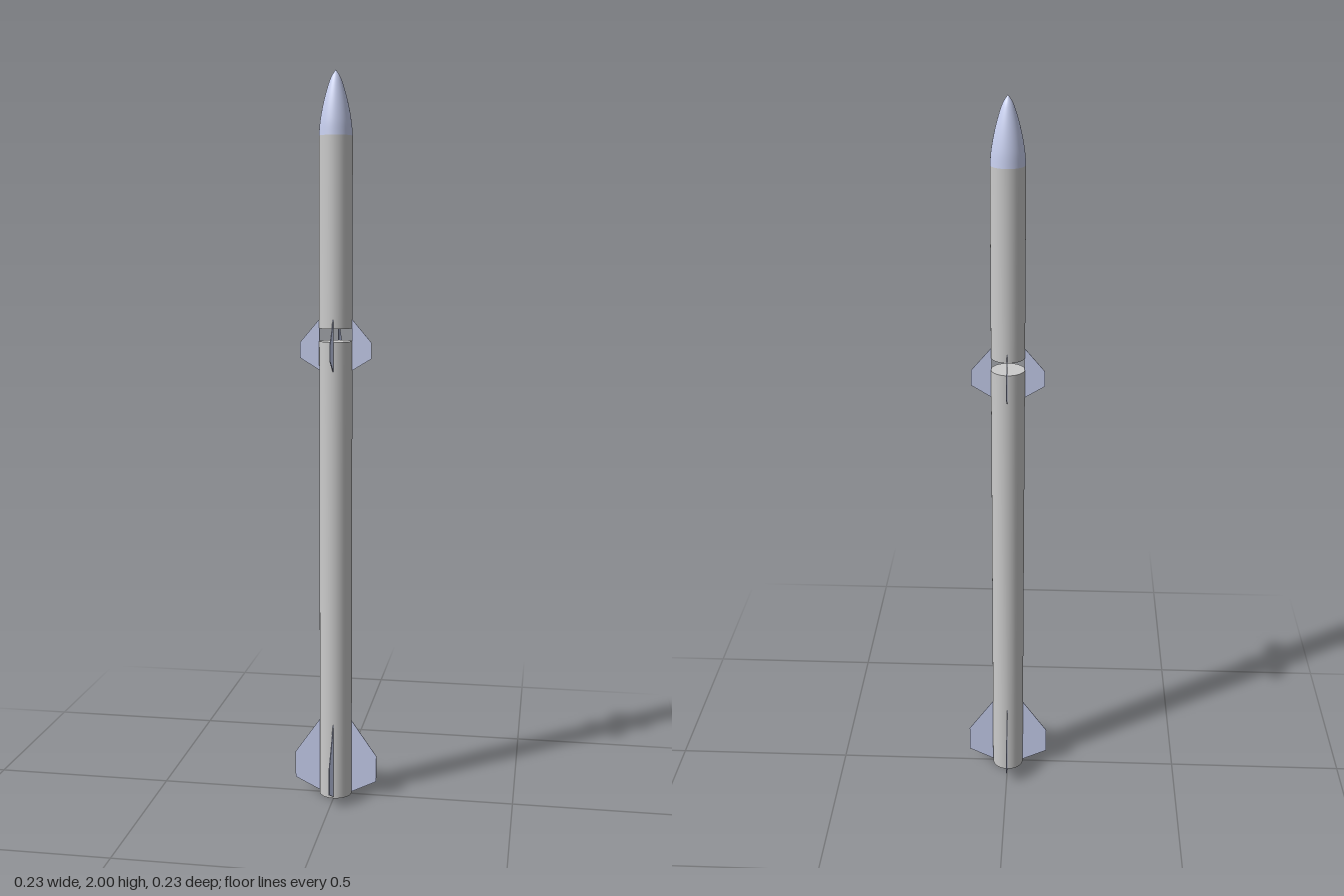
import * as THREE from 'three';

const RADIUS = 0.045;
const SIDES = 48;

export function createModel() {
  const rocket = new THREE.Group();
  rocket.name = 'rocket';

  const grey = new THREE.MeshStandardMaterial({ color: 0xcccccc });
  const paleBlue = new THREE.MeshStandardMaterial({ color: 0xc8d0f0 });
  const purple = new THREE.MeshStandardMaterial({ color: 0x800080 });

  const add = (name, geometry, material) => {
    const mesh = new THREE.Mesh(geometry, material);
    mesh.name = name;
    rocket.add(mesh);
    return mesh;
  };

  // Two capped body tubes with a narrow gap bridged by the upper fins
  const tube = (name, y0, y1) => {
    const geometry = new THREE.CylinderGeometry(RADIUS, RADIUS, y1 - y0, SIDES);
    add(name, geometry, grey).position.y = (y0 + y1) / 2;
  };
  tube('lowerBody', 0.001, 1.287);
  tube('upperBody', 1.322, 1.83);

  // Coloured exhaust disc closing the tail
  add('exhaust', new THREE.CircleGeometry(RADIUS * 0.98, SIDES).rotateX(Math.PI / 2), purple);

  // Pointed ogive nose
  const profile = new THREE.SplineCurve([
    [RADIUS, 1.83], [0.042, 1.865], [0.035, 1.905], [0.025, 1.945], [0.013, 1.98], [0, 2],
  ].map(([r, y]) => new THREE.Vector2(r, y)));
  add('noseCone', new THREE.LatheGeometry(profile.getPoints(24), SIDES), paleBlue);

  // Four thin clipped fins around the body, outline given as [radius, height]
  const fins = (name, outline) => {
    const depth = 0.002;
    const shape = new THREE.Shape(outline.map(([r, y]) => new THREE.Vector2(r, y)));
    const geometry = new THREE.ExtrudeGeometry(shape, { depth, bevelEnabled: false });
    geometry.translate(0, 0, -depth / 2);
    for (let i = 0; i < 4; i++) {
      add(name + (i + 1), geometry, paleBlue).rotation.y = i * Math.PI / 2;
    }
  };
  fins('tailFin', [[0.044, 0.005], [0.116, 0.04], [0.116, 0.115], [0.044, 0.218]]);
  fins('upperFin', [[0.044, 1.207], [0.098, 1.24], [0.098, 1.283], [0.044, 1.347]]);

  return rocket;
}
